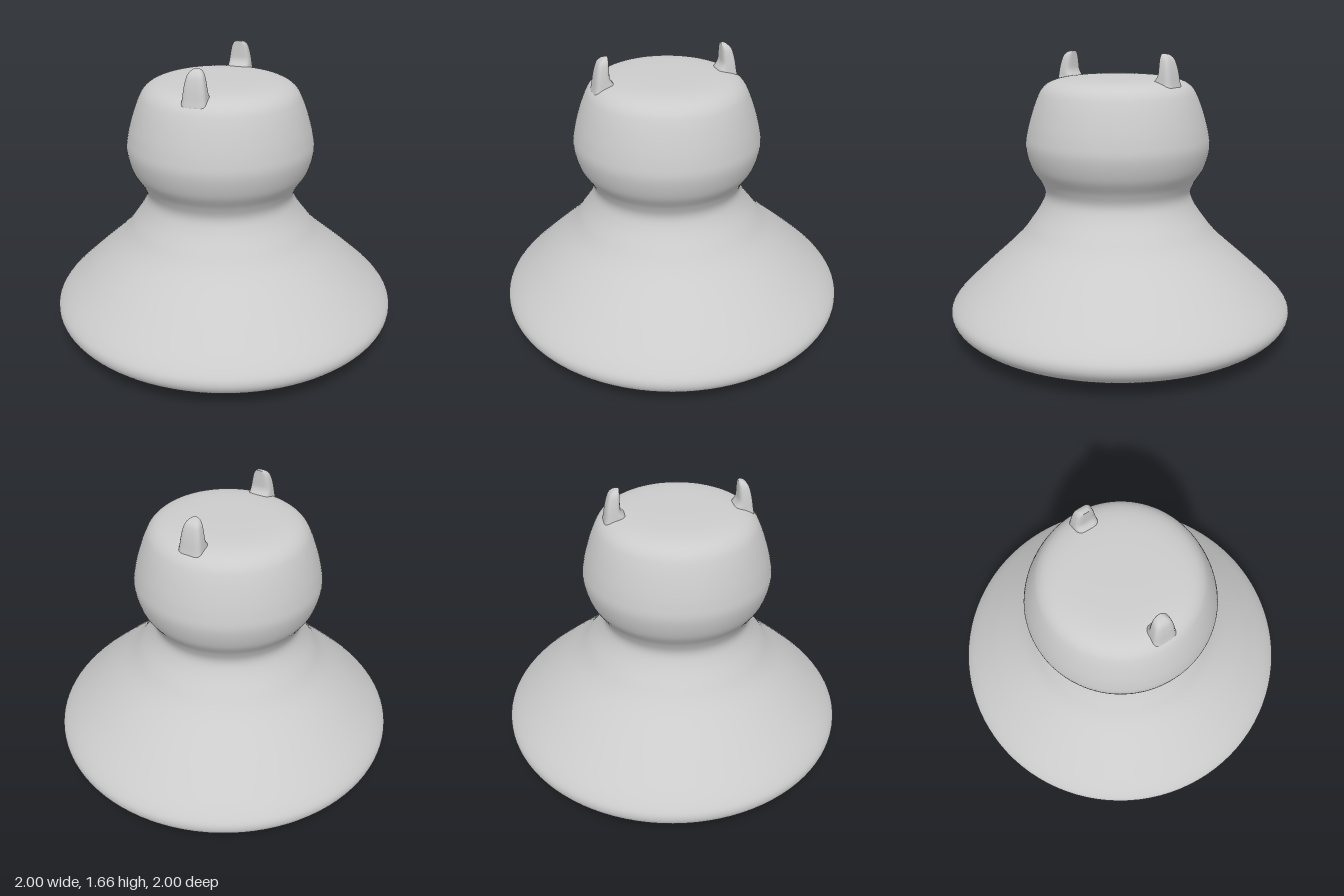
import * as THREE from 'three';
import { mergeVertices } from 'three/addons/utils/BufferGeometryUtils.js';

const material = new THREE.MeshStandardMaterial({ color: 0xcccccc });

// Turn a smoothed [radius, height] profile, then move every vertex by a rule.
function turned(name, profile, steps, segments, rule) {
  const curve = new THREE.SplineCurve(profile.map(([r, y]) => new THREE.Vector2(r, y)));
  const points = curve.getPoints(steps);
  points.forEach((p) => { p.x = Math.max(0, p.x); });
  let geometry = new THREE.LatheGeometry(points, segments);
  geometry.deleteAttribute('uv');
  geometry.deleteAttribute('normal');
  const pos = geometry.attributes.position;
  const v = new THREE.Vector3();
  for (let i = 0; i < pos.count; i++) {
    rule(v.fromBufferAttribute(pos, i));
    pos.setXYZ(i, v.x, v.y, v.z);
  }
  geometry = mergeVertices(geometry, 1e-5);
  geometry.computeVertexNormals();
  const mesh = new THREE.Mesh(geometry, material);
  mesh.name = name;
  return mesh;
}

// Flared skirt, waist and rounded head; the upper part sits slightly off centre.
function createBody() {
  const profile = [
    [0, 0.005], [0.35, 0.012], [0.68, 0.032], [0.86, 0.065], [0.96, 0.115], [0.998, 0.18],
    [0.96, 0.255], [0.81, 0.4], [0.6, 0.59], [0.51, 0.7], [0.45, 0.79], [0.427, 0.86],
    [0.45, 0.93], [0.505, 1.02], [0.532, 1.13], [0.522, 1.22], [0.495, 1.32], [0.462, 1.41],
    [0.43, 1.466], [0.38, 1.502], [0.3, 1.522], [0.18, 1.53], [0, 1.532],
  ];
  return turned('body', profile, 160, 96, (v) => {
    const t = THREE.MathUtils.smoothstep(v.y, 0.2, 0.9);
    v.x -= 0.012 * t;
    v.z += 0.026 * t;
  });
}

// Small tapering prong with a rounded-box section and an upright inner face.
function createProng(name, side, inner, lift) {
  const profile = [
    [0.078, 1.42], [0.074, 1.47], [0.068, 1.51], [0.062, 1.56], [0.054, 1.605],
    [0.044, 1.638], [0.028, 1.658], [0.012, 1.664], [0, 1.665],
  ];
  return turned(name, profile, 40, 32, (v) => {
    const r = Math.hypot(v.x, v.z);
    if (r > 0) {
      const c = v.x / r, s = v.z / r;
      const k = r / Math.pow(c ** 4 + s ** 4, 0.25) * 0.97;
      v.x = c * k;
      v.z = s * k * 0.64;
    }
    // Fillet where the inner face meets the head
    const flare = THREE.MathUtils.clamp((1.57 - v.y) / 0.05, 0, 1) ** 2;
    if (v.z * side < 0) v.z *= 1 + 0.6 * flare;
    v.x -= 0.014;
    v.z += side * (inner + r * 0.64);
    v.y += lift;
  });
}

export function createModel() {
  const model = new THREE.Group();
  model.name = 'figure';
  model.add(
    createBody(),
    createProng('frontProng', 1, 0.357, -0.004),
    createProng('backProng', -1, 0.287, 0.004),
  );
  return model;
}
